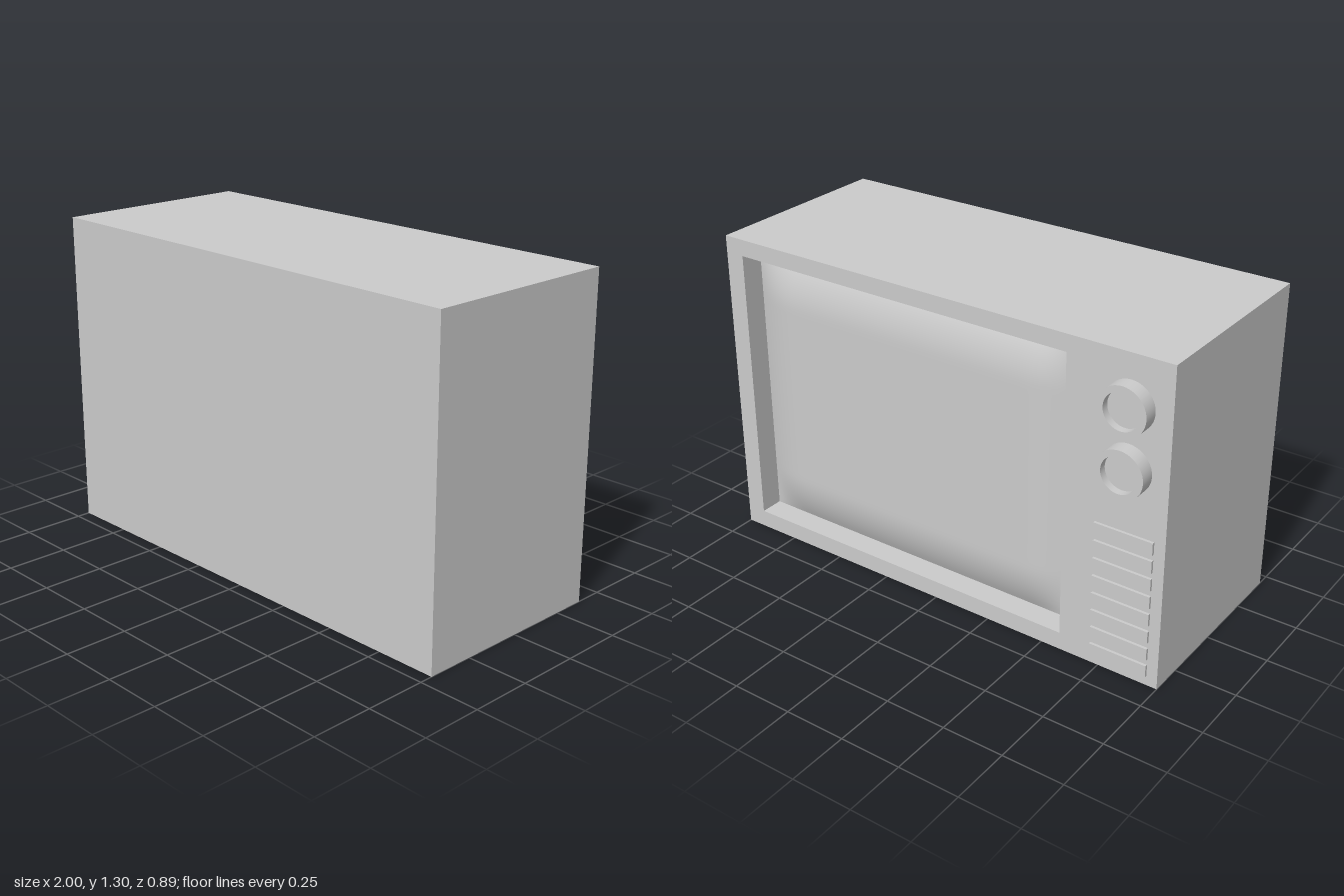
import * as THREE from 'three';
import { toCreasedNormals } from 'three/addons/utils/BufferGeometryUtils.js';

const material = new THREE.MeshStandardMaterial({ color: 0xcccccc });
const FACE = -0.386;   // plane of the panel holding screen and controls
const REAR = 0.446;
const HEIGHT = 1.3;
const RECESS = 0.1;
const OPENING = { x0: -0.58, x1: 0.918, y0: 0.073, y1: 1.232 };
const CONTROL_X = -0.836;

function add(parent, name, geometry, x = 0, y = 0, z = 0) {
  const mesh = new THREE.Mesh(geometry, material);
  mesh.name = name;
  mesh.position.set(x, y, z);
  parent.add(mesh);
  return mesh;
}

function rectangle(path, x0, y0, x1, y1) {
  return path.moveTo(x0, y0).lineTo(x1, y0).lineTo(x1, y1).lineTo(x0, y1).closePath();
}

// Front panel with the rectangular screen opening
function frameGeometry() {
  const { x0, x1, y0, y1 } = OPENING;
  const shape = rectangle(new THREE.Shape(), -1, 0, 1, HEIGHT);
  shape.holes.push(rectangle(new THREE.Path(), x0, y0, x1, y1));
  return new THREE.ExtrudeGeometry(shape, { depth: RECESS, bevelEnabled: false });
}

// Pillow-shaped glass: flat in the middle, rounding off towards its edges
function screenGeometry(width, height) {
  const geometry = new THREE.PlaneGeometry(width, height, 60, 48);
  geometry.rotateY(Math.PI);
  const ease = (d) => 1 - (1 - Math.min(Math.max(d, 0) / 0.2, 1)) ** 2;
  const p = geometry.attributes.position;
  for (let i = 0; i < p.count; i++) {
    const dx = width / 2 - Math.abs(p.getX(i));
    const dy = height / 2 - Math.abs(p.getY(i));
    p.setZ(i, -0.05 * ease(dx) * ease(dy));
  }
  geometry.computeVertexNormals();
  return geometry;
}

// Round knob with a raised rim and sunken centre, pointing to -z
function knobGeometry() {
  const profile = [[0.096, 0], [0.096, 0.06], [0.072, 0.06], [0.072, 0.03], [0, 0.03]]
    .map(([r, h]) => new THREE.Vector2(r, h));
  const geometry = new THREE.LatheGeometry(profile, 40);
  geometry.rotateX(-Math.PI / 2);
  return toCreasedNormals(geometry, 0.6);
}

export function createModel() {
  const model = new THREE.Group();
  model.name = 'television';

  // Cabinet
  const boxFront = FACE + RECESS;
  add(model, 'cabinet', new THREE.BoxGeometry(2, HEIGHT, REAR - boxFront),
    0, HEIGHT / 2, (REAR + boxFront) / 2);
  add(model, 'screenFrame', frameGeometry(), 0, 0, FACE);

  // Screen
  const { x0, x1, y0, y1 } = OPENING;
  add(model, 'screen', screenGeometry(x1 - x0, y1 - y0),
    (x0 + x1) / 2, (y0 + y1) / 2, boxFront - 0.002);

  // Dials
  const knob = knobGeometry();
  [1.106, 0.865].forEach((y, i) => add(model, `knob${i + 1}`, knob, CONTROL_X, y, FACE));

  // Speaker grille
  const grille = new THREE.Group();
  grille.name = 'speakerGrille';
  const slat = new THREE.BoxGeometry(0.24, 0.05, 0.022);
  for (let i = 0; i < 8; i++) {
    add(grille, `slat${i + 1}`, slat, CONTROL_X, 0.065 + i * 0.0746, FACE);
  }
  model.add(grille);

  return model;
}
